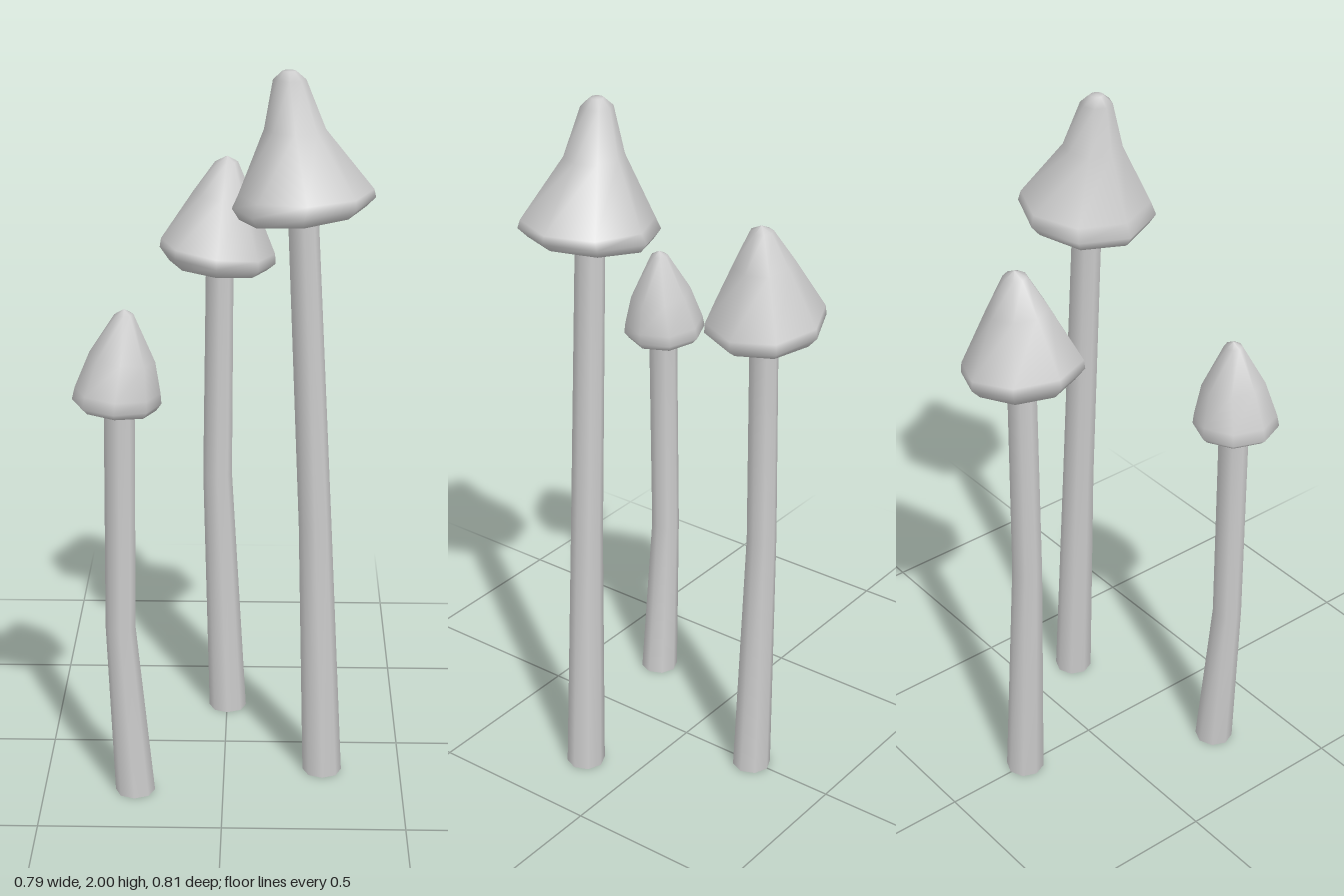
import * as THREE from 'three';

const SIDES = 8;
const material = new THREE.MeshStandardMaterial({ color: 0xcccccc });

// Smooth skin over rings listed from the bottom up: [centre x, y, radius, tilt],
// where tilt raises the +x edge of the ring and lowers the -x edge.
function loft(rings, z, name) {
  const positions = [], index = [];
  for (const [cx, y, r, tilt = 0] of rings) {
    for (let j = 0; j < SIDES; j++) {
      const a = (j / SIDES) * Math.PI * 2;
      positions.push(cx + r * Math.cos(a), y + tilt * Math.cos(a), z + r * Math.sin(a));
    }
  }
  for (let i = 0; i < rings.length - 1; i++) {
    for (let j = 0; j < SIDES; j++) {
      const k = (j + 1) % SIDES;
      const a = i * SIDES + j, b = i * SIDES + k;
      index.push(a, a + SIDES, b, b, a + SIDES, b + SIDES);
    }
  }
  const geometry = new THREE.BufferGeometry();
  geometry.setAttribute('position', new THREE.Float32BufferAttribute(positions, 3));
  geometry.setIndex(index);
  geometry.computeVertexNormals();
  const mesh = new THREE.Mesh(geometry, material);
  mesh.name = name;
  return mesh;
}

const MUSHROOMS = [
  {
    name: 'tallMushroom', z: 0.16,
    stem: [[0.279, 0, 0.055], [0.25, 0.75, 0.045], [0.205, 1.67, 0.04]],
    // underside, rim, flank, blunt tip
    cap: [[0.204, 1.65, 0.035], [0.204, 1.627, 0.165, 0.018], [0.208, 1.655, 0.188, 0.016],
      [0.214, 1.685, 0.177, 0.008], [0.183, 1.85, 0.08], [0.168, 1.978, 0.043], [0.167, 2, 0.018], [0.167, 2, 0]],
  },
  {
    name: 'middleMushroom', z: -0.24,
    stem: [[0.002, 0, 0.055], [-0.028, 0.75, 0.042], [-0.021, 1.41, 0.039]],
    cap: [[-0.025, 1.4, 0.035], [-0.026, 1.378, 0.138, -0.014], [-0.027, 1.407, 0.164, -0.024],
      [-0.026, 1.434, 0.161, -0.022], [-0.012, 1.585, 0.083, -0.008], [-0.002, 1.677, 0.032], [0, 1.693, 0]],
  },
  {
    name: 'smallMushroom', z: 0.29,
    stem: [[-0.246, 0, 0.055], [-0.28, 0.5, 0.041], [-0.273, 1.16, 0.041]],
    cap: [[-0.275, 1.148, 0.035], [-0.279, 1.132, 0.103, -0.008], [-0.28, 1.149, 0.118, -0.006],
      [-0.277, 1.18, 0.113, -0.008], [-0.263, 1.272, 0.086, -0.014], [-0.257, 1.388, 0.025], [-0.257, 1.402, 0]],
  },
];

export function createModel() {
  const model = new THREE.Group();
  model.name = 'mushrooms';
  for (const { name, z, stem, cap } of MUSHROOMS) {
    const mushroom = new THREE.Group();
    mushroom.name = name;
    // Flat disc closing the foot of the stem
    const foot = new THREE.Mesh(new THREE.CircleGeometry(stem[0][2], SIDES).rotateX(Math.PI / 2), material);
    foot.name = 'stemFoot';
    foot.position.set(stem[0][0], 0, z);
    mushroom.add(loft(stem, z, 'stem'), foot, loft(cap, z, 'cap'));
    model.add(mushroom);
  }
  return model;
}
